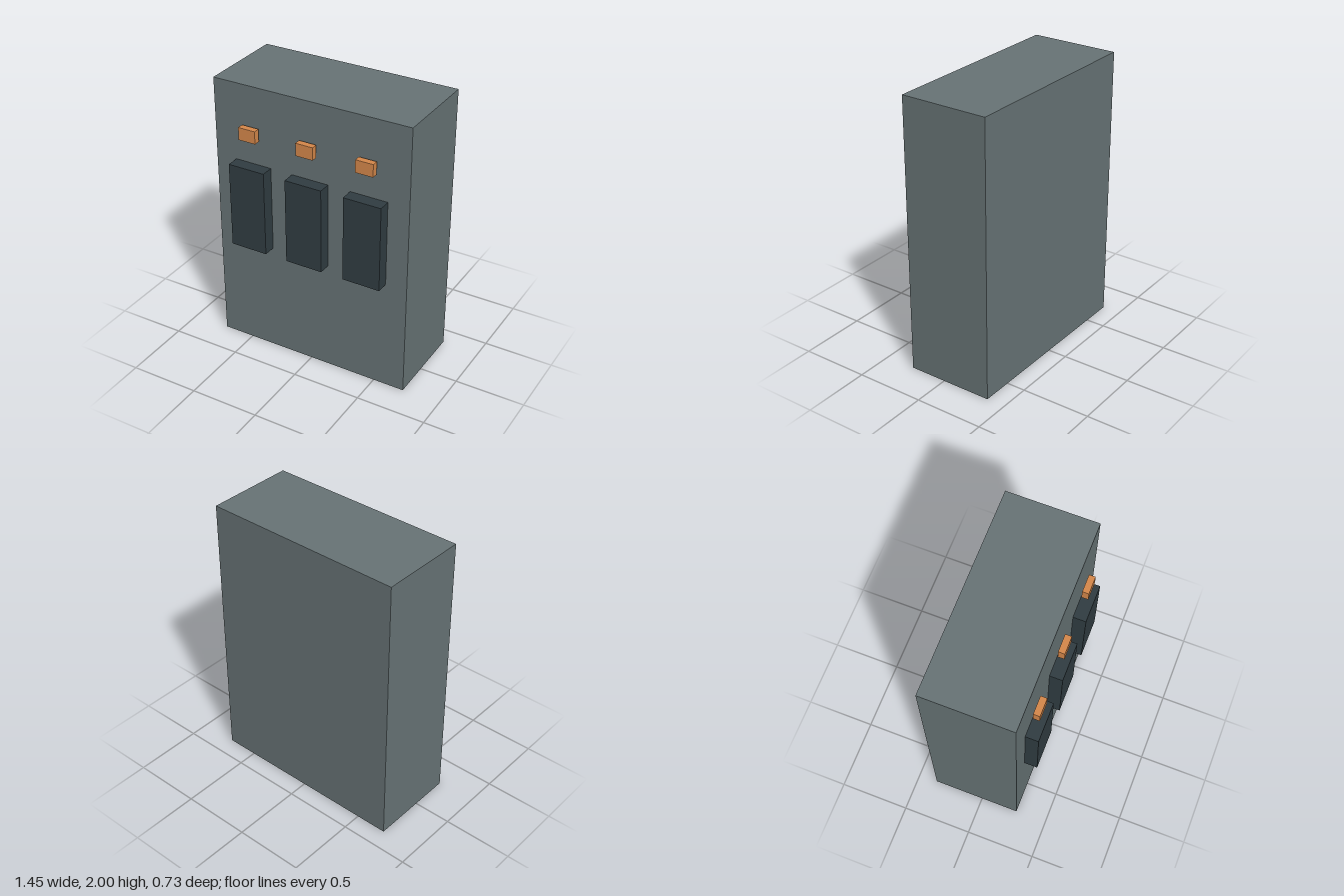
import * as THREE from 'three';

export function createModel() {
  const model = new THREE.Group();
  model.name = 'controlCabinet';

  const bodyMat = new THREE.MeshStandardMaterial({ color: 0x667274 });
  const panelMat = new THREE.MeshStandardMaterial({ color: 0x303c41 });
  const lampMat = new THREE.MeshStandardMaterial({ color: 0xd4874a });

  const addBox = (name, size, position, material) => {
    const mesh = new THREE.Mesh(new THREE.BoxGeometry(...size), material);
    mesh.name = name;
    mesh.position.set(...position);
    model.add(mesh);
  };

  // Cabinet body
  addBox('cabinetBody', [1.4545, 2, 0.6364], [0, 1, -0.0455], bodyMat);

  // Three raised panels, each with an indicator lamp held just off the front
  ['right', 'middle', 'left'].forEach((side, i) => {
    const x = (i - 1) * 0.4364;
    addBox(side + 'Panel', [0.2727, 0.62, 0.0909], [x, 1.13, 0.3182], panelMat);
    addBox(side + 'Lamp', [0.1273, 0.0909, 0.0455], [x, 1.6755, 0.3182], lampMat);
  });

  return model;
}
